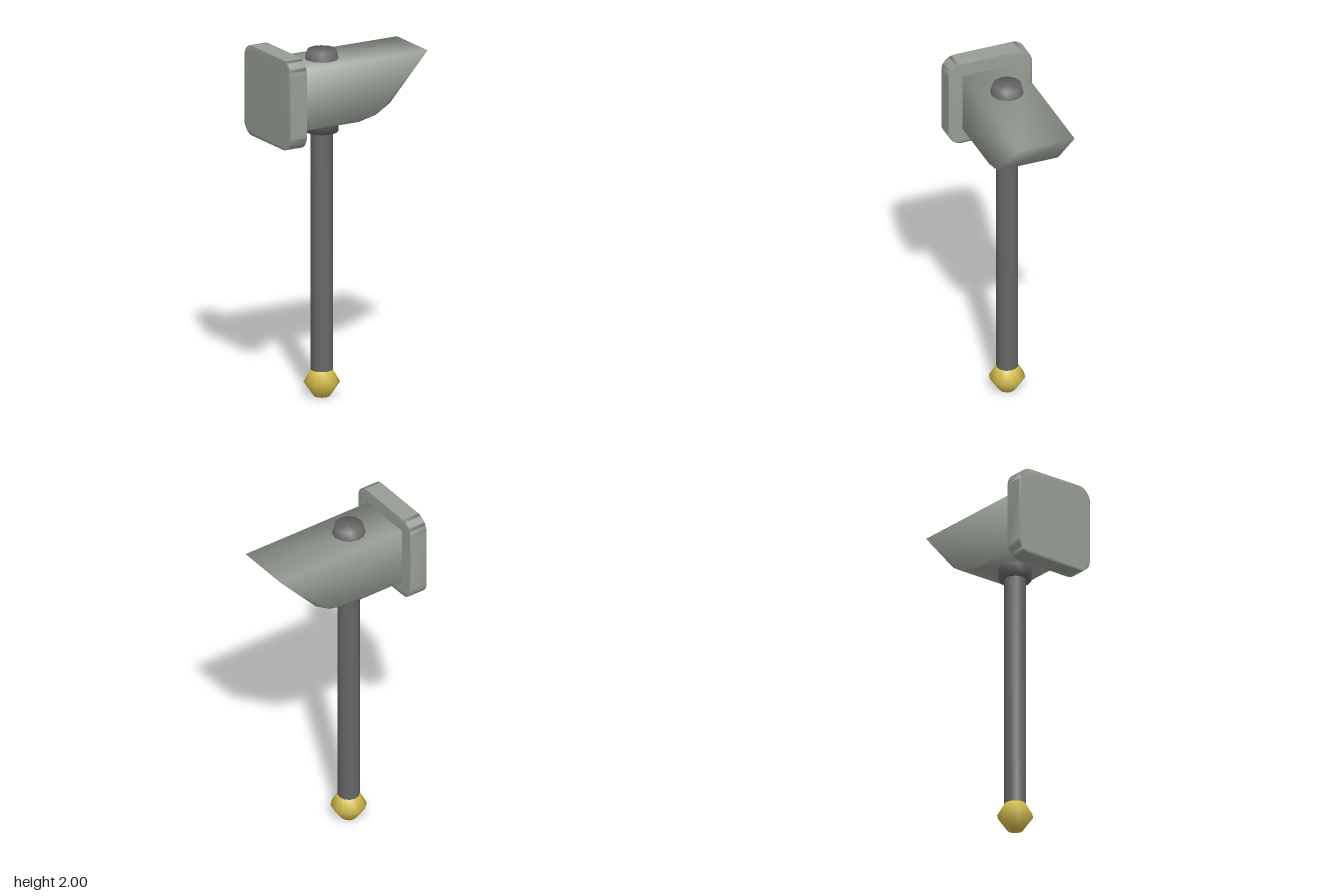
import * as THREE from 'three';
import { mergeVertices } from 'three/addons/utils/BufferGeometryUtils.js';

const steel = new THREE.MeshStandardMaterial({ name: 'paleSteel', color: 0x989e95 });
const iron = new THREE.MeshStandardMaterial({ name: 'darkIron', color: 0x676767 });
const gold = new THREE.MeshStandardMaterial({ name: 'gold', color: 0xd4bd4c });

const HANDLE_X = -0.117;

// Weld corners so the normals blend softly over the edges.
function soften(geometry) {
  geometry.deleteAttribute('uv');
  geometry.deleteAttribute('normal');
  const welded = mergeVertices(geometry, 1e-4);
  welded.computeVertexNormals();
  return welded;
}

function addMesh(group, name, geometry, material) {
  const mesh = new THREE.Mesh(geometry, material);
  mesh.name = name;
  group.add(mesh);
  return mesh;
}

// Turned part on the handle axis, from [radius, height] pairs, bottom to top.
function addTurned(group, name, profile, material) {
  const points = profile.map(([r, y]) => new THREE.Vector2(r, y));
  const mesh = addMesh(group, name, soften(new THREE.LatheGeometry(points, 12)), material);
  mesh.position.x = HANDLE_X;
}

export function createModel() {
  const group = new THREE.Group();
  group.name = 'hammer';

  // Head: flat top, belly curving up to a wedge tip
  const profile = new THREE.Shape([
    [-0.37, 1.575], [0.02, 1.575], [0.13, 1.6], [0.22, 1.655], [0.46, 1.918], [-0.37, 1.918],
  ].map(([x, y]) => new THREE.Vector2(x, y)));
  const head = new THREE.ExtrudeGeometry(profile, { depth: 0.326, bevelEnabled: false });
  head.translate(0, 0, -0.163);
  addMesh(group, 'head', soften(head), steel);

  // Striking plate: rounded square facing -x
  const w = 0.247, h = 0.256, r = 0.08;
  const plateShape = new THREE.Shape();
  plateShape.absarc(w - r, h - r, r, 0, Math.PI / 2);
  plateShape.absarc(r - w, h - r, r, Math.PI / 2, Math.PI);
  plateShape.absarc(r - w, r - h, r, Math.PI, Math.PI * 1.5);
  plateShape.absarc(w - r, r - h, r, Math.PI * 1.5, Math.PI * 2);
  const plate = new THREE.ExtrudeGeometry(plateShape, { depth: 0.103, bevelEnabled: false, curveSegments: 4 });
  plate.rotateY(-Math.PI / 2);
  plate.translate(-0.36, 1.744, 0);
  addMesh(group, 'strikingPlate', soften(plate), steel);

  // Handle, collar under the head, cap above it, pommel at the foot
  addTurned(group, 'handle', [[0.061, 0.14], [0.061, 1.52]], iron);
  addTurned(group, 'collar', [[0, 1.505], [0.091, 1.505], [0.091, 1.58]], iron);
  addTurned(group, 'cap', [[0.093, 1.915], [0.08, 1.969], [0, 1.969]], iron);
  addTurned(group, 'pommel', [[0, 0], [0.045, 0], [0.1, 0.08], [0.061, 0.15], [0, 0.15]], gold);

  return group;
}
